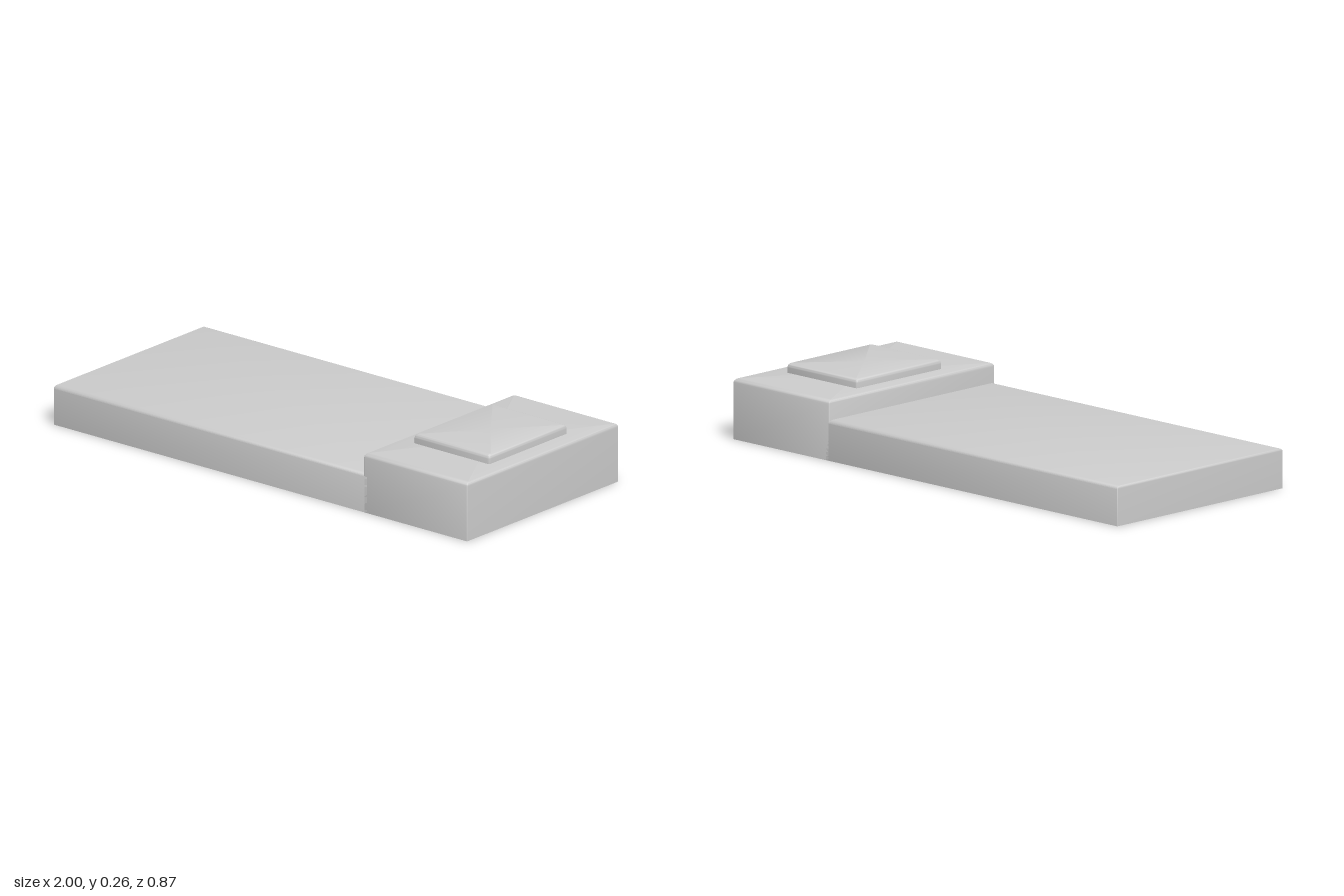
import * as THREE from 'three';
import { toCreasedNormals } from 'three/addons/utils/BufferGeometryUtils.js';

const ARC = 6;

// Block with a flat bottom, soft top edges and slightly eased upright corners.
// The top rounding is rx by ry on the x sides and rz by ry on the z sides.
function softBlock(name, [x0, x1], [y0, y1], [z0, z1], rx, ry, rz, corner, material) {
  const levels = [[y0, 0]];
  for (let i = 0; i <= ARC; i++) {
    const a = (i / ARC) * Math.PI / 2;
    levels.push([y1 - ry + ry * Math.sin(a), 1 - Math.cos(a)]);
  }
  const cx = (x0 + x1) / 2, cz = (z0 + z1) / 2;
  const positions = [], index = [];
  const n = 4 * (ARC + 1);

  // One rounded rectangle per level
  for (const [y, inset] of levels) {
    const hx = (x1 - x0) / 2 - rx * inset - corner;
    const hz = (z1 - z0) / 2 - rz * inset - corner;
    for (let q = 0; q < 4; q++) {
      const sx = q === 0 || q === 3 ? 1 : -1, sz = q < 2 ? 1 : -1;
      for (let i = 0; i <= ARC; i++) {
        const a = (q + i / ARC) * Math.PI / 2;
        positions.push(cx + sx * hx + corner * Math.cos(a), y, cz + sz * hz + corner * Math.sin(a));
      }
    }
  }

  // Walls between the levels
  for (let l = 0; l < levels.length - 1; l++) {
    for (let i = 0; i < n; i++) {
      const a = l * n + i, b = l * n + (i + 1) % n;
      index.push(a, a + n, b, b, a + n, b + n);
    }
  }

  // Bottom and top caps
  const bottom = positions.length / 3, top = bottom + 1;
  positions.push(cx, y0, cz, cx, y1, cz);
  const last = (levels.length - 1) * n;
  for (let i = 0; i < n; i++) {
    const j = (i + 1) % n;
    index.push(bottom, i, j, top, last + j, last + i);
  }

  const geometry = new THREE.BufferGeometry();
  geometry.setAttribute('position', new THREE.Float32BufferAttribute(positions, 3));
  geometry.setIndex(index);
  const mesh = new THREE.Mesh(toCreasedNormals(geometry, 0.6), material);
  mesh.name = name;
  return mesh;
}

export function createModel() {
  const group = new THREE.Group();
  group.name = 'steppedPlatform';
  const grey = new THREE.MeshStandardMaterial({ color: 0xcccccc });
  const width = [-0.434, 0.434];

  group.add(
    // Long low slab, its end tucked into the raised block
    softBlock('lowerSlab', [-1, 0.52], [0, 0.153], width, 0.006, 0.012, 0.02, 0.003, grey),
    // Raised block at one end
    softBlock('raisedBlock', [0.5, 1], [0, 0.229], width, 0.008, 0.016, 0.02, 0.004, grey),
    // Pad on the raised block
    softBlock('topPad', [0.565, 0.93], [0.22, 0.265], [-0.224, 0.224], 0.01, 0.016, 0.014, 0.008, grey),
  );
  return group;
}
